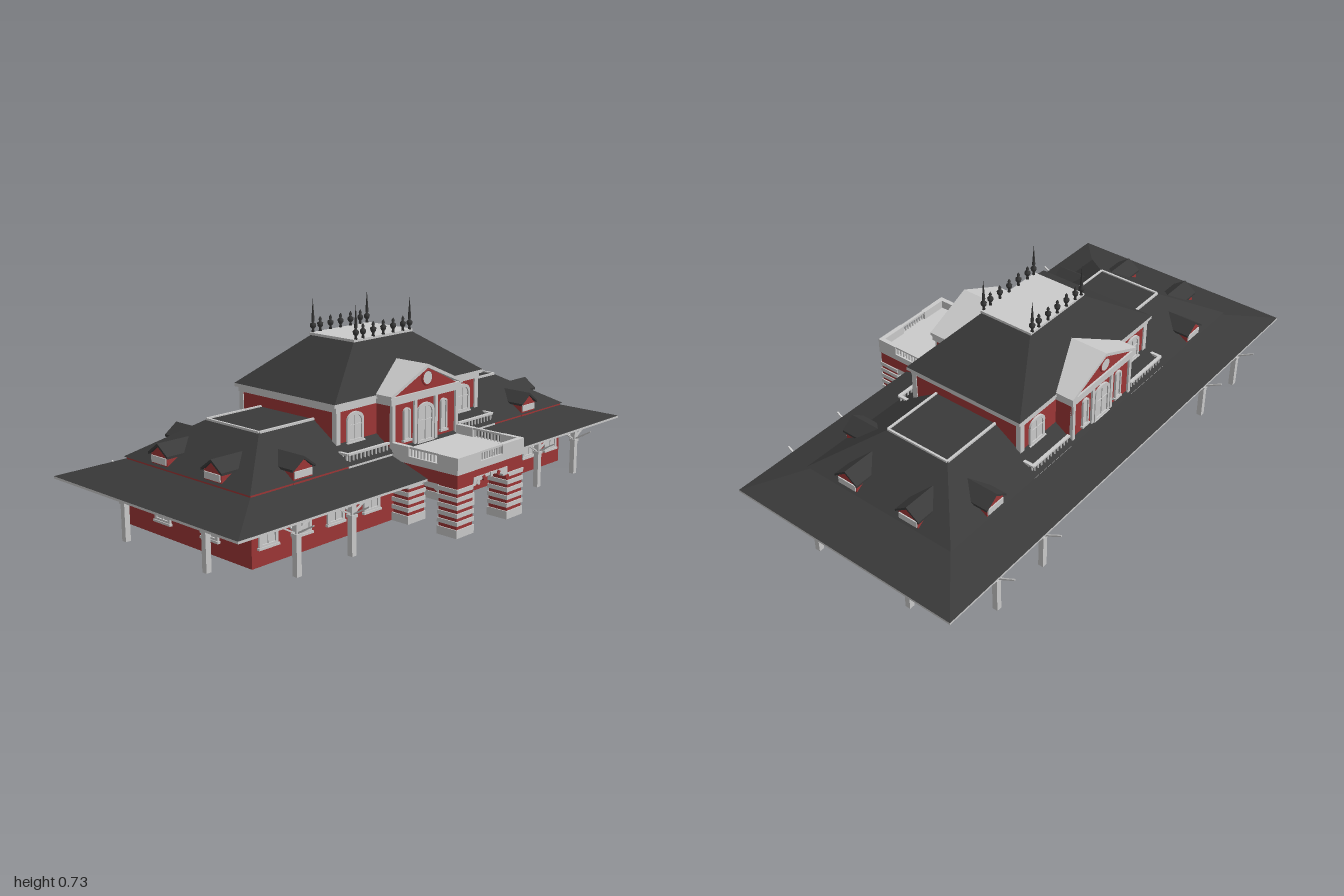
import * as THREE from 'three';

const mat = (color) => new THREE.MeshStandardMaterial({ color });
const RED = mat(0x9e3737), DARK = mat(0x3a3a3a), PALE = mat(0xcccccc);

function add(parent, name, geo, material, x = 0, y = 0, z = 0) {
  const m = new THREE.Mesh(geo, material);
  m.name = name;
  m.position.set(x, y, z);
  parent.add(m);
  return m;
}
// Box given by its ranges
const block = (p, name, m, x0, x1, y0, y1, z0, z1) =>
  add(p, name, new THREE.BoxGeometry(x1 - x0, y1 - y0, z1 - z0), m, (x0 + x1) / 2, (y0 + y1) / 2, (z0 + z1) / 2);

function group(parent, name, x = 0, z = 0, ry = 0) {
  const g = new THREE.Group();
  g.name = name;
  g.position.set(x, 0, z);
  g.rotation.y = ry;
  parent.add(g);
  return g;
}

// Hipped frustum: a box whose top face is shrunk
function hipRoof(p, name, x0, z0, y0, x1, z1, y1) {
  const geo = new THREE.BoxGeometry(2, y1 - y0, 2), a = geo.attributes.position;
  for (let i = 0; i < a.count; i++) {
    const top = a.getY(i) > 0;
    a.setX(i, a.getX(i) * (top ? x1 : x0));
    a.setZ(i, a.getZ(i) * (top ? z1 : z0));
  }
  geo.computeVertexNormals();
  return add(p, name, geo, DARK, 0, (y0 + y1) / 2, 0);
}

// Thin rectangular frame lying flat
function rim(p, name, x, z, y, h, t) {
  for (const s of [-1, 1]) {
    block(p, name, PALE, -x, x, y, y + h, s * z - t / 2, s * z + t / 2);
    block(p, name, PALE, s * x - t / 2, s * x + t / 2, y, y + h, -z, z);
  }
}

const poly = (pts) => new THREE.Shape(pts.map(([x, y]) => new THREE.Vector2(x, y)));
const extrude = (shape, depth, curveSegments = 8) =>
  new THREE.ExtrudeGeometry(shape, { depth, bevelEnabled: false, curveSegments });

function archShape(w, h, Type = THREE.Shape, y0 = 0, rise = w * 0.38) {
  const s = new Type();
  s.moveTo(-w / 2, y0);
  s.lineTo(w / 2, y0);
  s.lineTo(w / 2, h - rise);
  s.absellipse(0, h - rise, w / 2, rise, 0, Math.PI, false);
  s.lineTo(-w / 2, y0);
  return s;
}

// Arched window facing +z, bottom at y
function windowAt(p, name, x, y, z, w, h, ry = 0) {
  const g = group(p, name, x, z, ry);
  g.position.y = y;
  const t = Math.min(0.011, w * 0.2);
  const frame = archShape(w, h);
  frame.holes.push(archShape(w - 2 * t, h - t, THREE.Path, t));
  add(g, 'windowFrame', extrude(frame, 0.008), PALE);
  add(g, 'windowPane', extrude(archShape(w - t, h - t / 2), 0.003), PALE);
  block(g, 'windowSill', PALE, -w / 2 - 0.004, w / 2 + 0.004, -0.004, 0.004, 0, 0.011);
  if (w > 0.05) {
    block(g, 'windowBar', PALE, -0.002, 0.002, 0, h - t, 0, 0.006);
    block(g, 'windowBar', PALE, -w / 2 + t, w / 2 - t, h * 0.55, h * 0.55 + 0.004, 0, 0.006);
  }
}

// Gabled dormer, front face at z = 0, running back into the roof
function dormer(p, x, z, ry) {
  const g = group(p, 'dormer', x, z, ry);
  block(g, 'dormerWall', RED, -0.041, 0.041, 0.235, 0.286, -0.09, -0.004);
  add(g, 'dormerGable', extrude(poly([[-0.041, 0.283], [0.041, 0.283], [0, 0.318]]), 0.1), RED, 0, 0, -0.104);
  block(g, 'dormerWindow', PALE, -0.038, 0.038, 0.258, 0.281, -0.01, 0);
  for (const s of [-1, 1]) {
    const pts = [[0, 0.326], [s * 0.05, 0.29], [s * 0.05, 0.282], [0, 0.317]];
    add(g, 'dormerRoof', extrude(poly(pts), 0.128), DARK, 0, 0, -0.125);
  }
}

// Canopy post with four braces
function post(p, x, z) {
  const g = group(p, 'canopyPost', x, z);
  block(g, 'postShaft', PALE, -0.01, 0.01, 0, 0.185, -0.01, 0.01);
  block(g, 'postCollar', PALE, -0.013, 0.013, 0.128, 0.138, -0.013, 0.013);
  for (let k = 0; k < 4; k++) {
    const arm = group(g, 'postBrace', 0, 0, k * Math.PI / 2);
    add(arm, 'brace', extrude(poly([[0, 0.132], [0.075, 0.176], [0.075, 0.181], [0, 0.139]]), 0.006), PALE, 0, 0, -0.003);
  }
}

// Striped pier
function pier(p, x, z, w, d) {
  const g = group(p, 'bandedPier', x, z);
  block(g, 'pierCore', RED, -w / 2 + 0.004, w / 2 - 0.004, 0.01, 0.19, -d / 2 + 0.004, d / 2 - 0.004);
  block(g, 'pierBase', PALE, -w / 2, w / 2, 0.01, 0.039, -d / 2, d / 2);
  for (let i = 0; i < 5; i++) {
    const y = 0.052 + i * 0.0275;
    block(g, 'pierBand', PALE, -w / 2, w / 2, y, y + 0.015, -d / 2, d / 2);
  }
}

// Balustrade along x from -l/2 to l/2
function balustrade(p, x, z, l, ry, y0, y1, n) {
  const g = group(p, 'balustrade', x, z, ry);
  block(g, 'rail', PALE, -l / 2, l / 2, y1 - 0.007, y1, -0.006, 0.006);
  for (let i = 0; i < n; i++) {
    add(g, 'baluster', new THREE.CylinderGeometry(0.0035, 0.0035, y1 - y0, 6), PALE,
      ((i + 0.5) / n - 0.5) * l, (y0 + y1) / 2, 0);
  }
}

// Panel with an arched opening, centred on x
function archPanel(p, x, z, ry, half, spring, top, crown, depth) {
  const s = poly([[-half, spring], [-half, top], [half, top], [half, spring]]);
  s.absellipse(0, spring, half, crown - spring, 0, Math.PI, false);
  const g = group(p, 'archPanel', x, z, ry);
  add(g, 'arch', extrude(s, depth, 12), PALE, 0, 0, -depth / 2);
}

// One long face: windows, pavilion with pediment, balconies, posts, dormers
function longFace(p) {
  for (const s of [-1, 1]) {
    for (const x of [0.285, 0.455, 0.605, 0.75]) windowAt(p, 'groundWindow', s * x, 0.07, 0.31, 0.078, 0.08);
    windowAt(p, 'upperWindow', s * 0.285, 0.295, 0.235, 0.08, 0.105);
    windowAt(p, 'narrowWindow', s * 0.098, 0.275, 0.3, 0.034, 0.115);
    for (const x of [0.055, 0.168]) block(p, 'pilaster', PALE, s * x - 0.007, s * x + 0.007, 0.24, 0.415, 0.295, 0.308);
    block(p, 'cornerPilaster', PALE, s * 0.365 - 0.01, s * 0.365 + 0.01, 0.25, 0.415, 0.22, 0.24);
    const bx = s * 0.285;
    block(p, 'balconyFloor', PALE, bx - 0.105, bx + 0.105, 0.235, 0.25, 0.23, 0.312);
    balustrade(p, bx, 0.3, 0.2, 0, 0.25, 0.285, 11);
    balustrade(p, s * 0.383, 0.27, 0.066, Math.PI / 2, 0.25, 0.285, 4);
    // Pediment roof slope
    const slope = poly([[0, 0.528], [s * 0.19, 0.443], [s * 0.19, 0.432], [0, 0.515]]);
    add(p, 'pedimentRoof', extrude(slope, 0.22), PALE, 0, 0, 0.095);
    for (const x of [0.5, 0.74]) post(p, s * x, 0.43);
    dormer(p, s * 0.597, 0.315, 0);
    pier(p, s * 0.135, 0.27, 0.09, 0.085);
  }
  archPanel(p, 0, 0.29, 0, 0.092, 0.16, 0.2, 0.19, 0.04);
  block(p, 'pavilionWall', RED, -0.175, 0.175, 0.2, 0.42, 0.1, 0.3);
  block(p, 'pavilionCornice', PALE, -0.185, 0.185, 0.41, 0.437, 0.1, 0.312);
  windowAt(p, 'balconyDoor', 0, 0.25, 0.3, 0.086, 0.142);
  add(p, 'pedimentFace', extrude(poly([[-0.165, 0.437], [0.165, 0.437], [0, 0.518]]), 0.2), RED, 0, 0, 0.105);
  const disc = add(p, 'roundWindow', new THREE.CylinderGeometry(0.023, 0.023, 0.008, 24), PALE, 0, 0.48, 0.309);
  disc.rotation.x = Math.PI / 2;
  add(p, 'roundWindowRing', new THREE.TorusGeometry(0.025, 0.004, 6, 24), RED, 0, 0.48, 0.31);

  // Ridge cresting along this side of the flat top
  const finial = (h) => new THREE.LatheGeometry([[0, 0], [0.006, 0], [0.004, 0.012], [0.01, 0.02], [0.011, 0.03],
    [0.004, 0.036], [0.006, 0.044], [0, h]].map(([x, y]) => new THREE.Vector2(x, y)), 8);
  for (let i = -2; i <= 2; i++) add(p, 'crestFinial', finial(0.055), DARK, i * 0.052, 0.605, 0.105);
  for (const s of [-1, 1]) add(p, 'cornerSpire', finial(0.122), DARK, s * 0.14, 0.605, 0.105);
}

function portico(p) {
  const g = group(p, 'portico');
  for (const s of [-1, 1]) {
    pier(g, s * 0.135, 0.5525, 0.09, 0.085);
    pier(g, s * 0.135, 0.3475, 0.09, 0.075);
    archPanel(g, s * 0.135, 0.4475, Math.PI / 2, 0.0645, 0.14, 0.182, 0.168, 0.082);
    // Parapet: solid ends with balusters between
    block(g, 'parapetEnd', PALE, s * 0.171 - 0.009, s * 0.171 + 0.009, 0.25, 0.283, 0.31, 0.385);
    block(g, 'parapetEnd', PALE, s * 0.171 - 0.009, s * 0.171 + 0.009, 0.25, 0.283, 0.51, 0.595);
    balustrade(g, s * 0.171, 0.4475, 0.127, Math.PI / 2, 0.25, 0.283, 9);
    block(g, 'parapetFront', PALE, s * 0.12 - 0.06, s * 0.12 + 0.06, 0.25, 0.283, 0.577, 0.595);
  }
  balustrade(g, 0, 0.586, 0.12, 0, 0.25, 0.283, 9);
  archPanel(g, 0, 0.5525, 0, 0.092, 0.155, 0.2, 0.19, 0.08);
  // Arch stones
  for (let i = 0; i < 7; i++) {
    const a = Math.PI * (i + 0.5) / 7;
    const stone = add(g, 'archStone', new THREE.BoxGeometry(0.012, 0.016, 0.088), i % 2 ? PALE : RED,
      Math.cos(a) * 0.09, 0.157 + Math.sin(a) * 0.036, 0.5525);
    stone.rotation.z = a - Math.PI / 2;
  }
  block(g, 'entablature', RED, -0.176, 0.176, 0.19, 0.226, 0.3, 0.591);
  for (const s of [-1, 1]) block(g, 'entablatureSide', RED, s * 0.135 - 0.041, s * 0.135 + 0.041, 0.18, 0.2, 0.31, 0.591);
  block(g, 'deck', PALE, -0.18, 0.18, 0.225, 0.25, 0.3, 0.595);
}

export function createModel() {
  const model = new THREE.Group();
  model.name = 'stationBuilding';
  const b = group(model, 'building', 0, -0.045);

  // Ground floor, split by an open passage
  for (const s of [-1, 1]) block(b, 'groundFloorWing', RED, Math.min(s * 0.17, s * 0.815), Math.max(s * 0.17, s * 0.815), 0.01, 0.25, -0.31, 0.31);
  block(b, 'passageCeiling', RED, -0.171, 0.171, 0.19, 0.25, -0.308, 0.308);

  // Canopy, lower hipped roof and their trims
  block(b, 'canopyFascia', PALE, -1, 1, 0.18, 0.188, -0.465, 0.465);
  hipRoof(b, 'canopyRoof', 1, 0.465, 0.188, 0.813, 0.308, 0.24);
  hipRoof(b, 'lowerRoof', 0.822, 0.317, 0.248, 0.615, 0.13, 0.37);
  rim(b, 'lowerRoofTrim', 0.615, 0.13, 0.367, 0.008, 0.008);

  // Upper storey and main roof
  block(b, 'upperStorey', RED, -0.372, 0.372, 0.24, 0.415, -0.235, 0.235);
  block(b, 'upperFrieze', PALE, -0.378, 0.378, 0.41, 0.43, -0.241, 0.241);
  block(b, 'upperCornice', PALE, -0.39, 0.39, 0.428, 0.44, -0.248, 0.248);
  hipRoof(b, 'mainRoof', 0.39, 0.248, 0.44, 0.15, 0.105, 0.598);
  block(b, 'roofDeck', PALE, -0.153, 0.153, 0.597, 0.606, -0.109, 0.109);

  // Two matching long faces
  longFace(group(b, 'frontFace'));
  longFace(group(b, 'backFace', 0, 0, Math.PI));

  // Two matching ends
  for (const s of [-1, 1]) {
    const end = group(b, 'endFace', 0, 0, s * Math.PI / 2);
    for (const t of [-1, 1]) {
      windowAt(end, 'endWindow', t * 0.12, 0.062, 0.815, 0.08, 0.082);
      dormer(end, t * 0.134, 0.817, 0);
      post(end, t * 0.205, 0.905);
    }
  }
  portico(b);
  return model;
}
